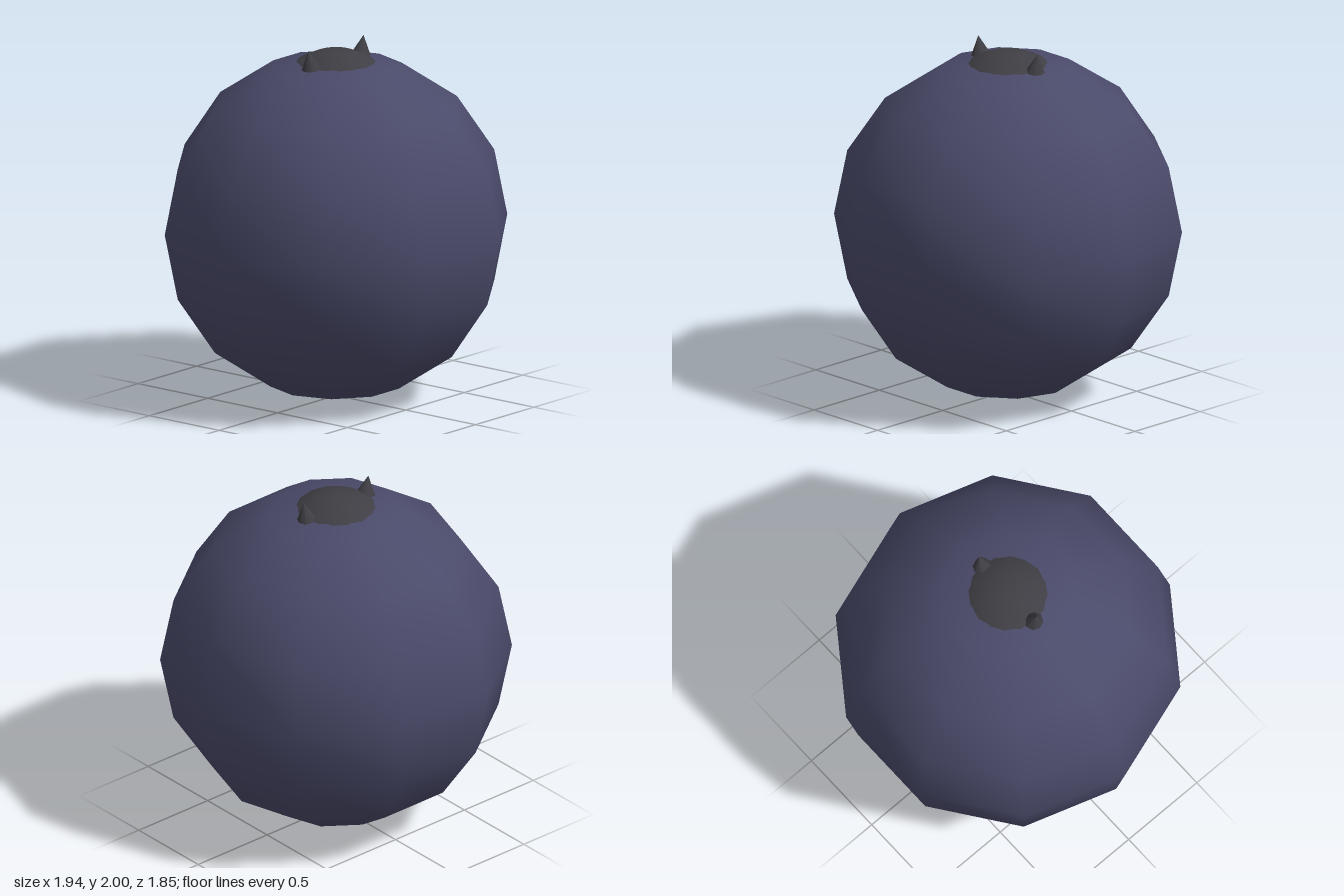
import * as THREE from 'three';

function part(name, geometry, color, x, y, z) {
  const mesh = new THREE.Mesh(geometry, new THREE.MeshStandardMaterial({ color }));
  mesh.name = name;
  mesh.position.set(x, y, z);
  return mesh;
}

export function createModel() {
  const model = new THREE.Group();
  model.name = 'roundCreature';

  // Big low-poly ball with smooth shading
  model.add(part('body', new THREE.SphereGeometry(0.97, 10, 8), 0x4a4a6a, 0, 0.97, 0));

  // Head, mostly sunk into the body so that only its crown shows
  model.add(part('head', new THREE.SphereGeometry(0.39, 16, 12), 0x3e3e44, 0, 1.575, 0));

  // Pointed ears, leaning outward
  for (const side of [-1, 1]) {
    const ear = part(side > 0 ? 'leftEar' : 'rightEar',
      new THREE.ConeGeometry(0.08, 0.16, 8), 0x3e3e44, side * 0.219, 1.922, 0);
    ear.rotation.z = -side * 0.2;
    model.add(ear);
  }
  return model;
}
